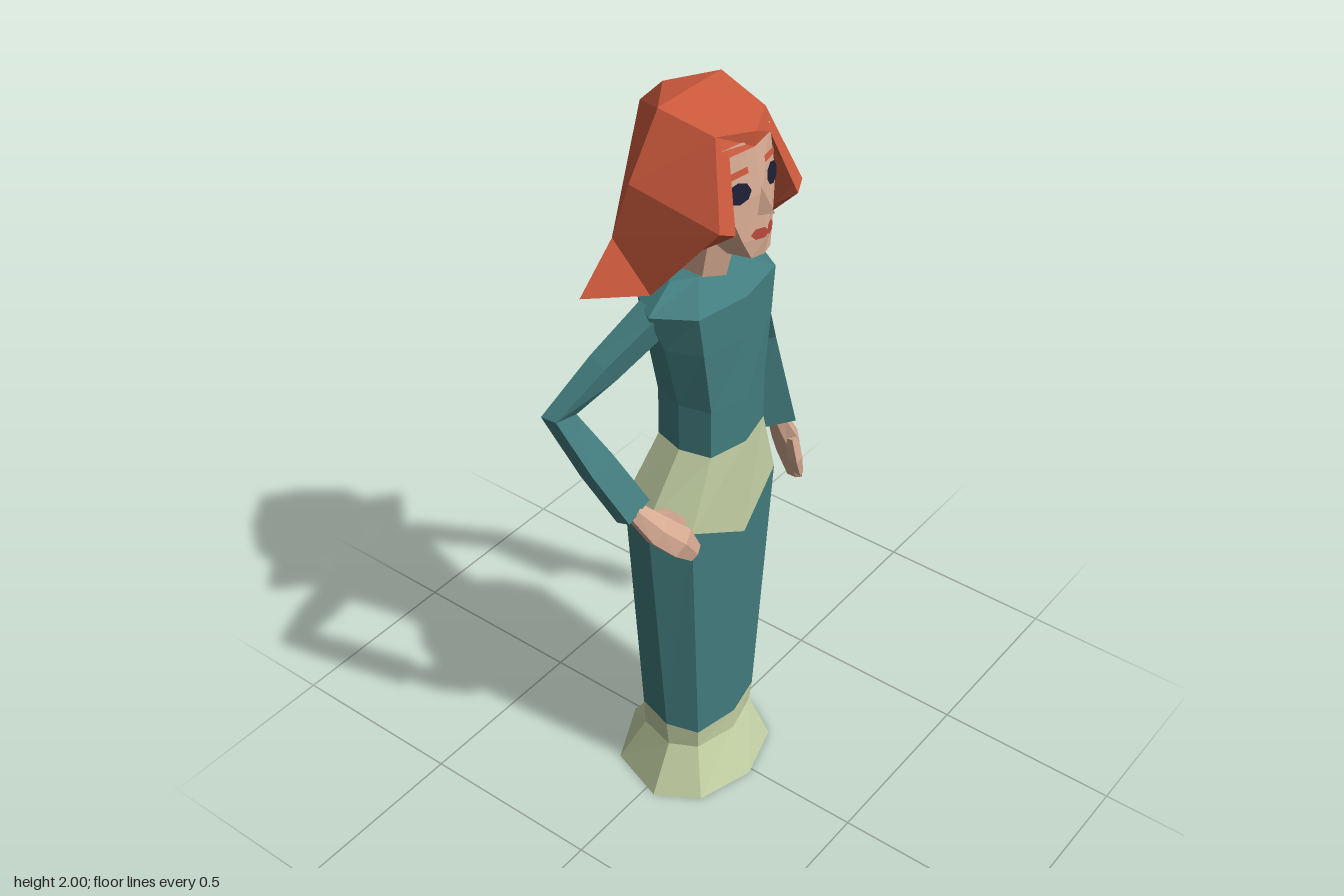
import * as THREE from 'three';

const flat = (name, color) => {
  const m = new THREE.MeshStandardMaterial({ color, flatShading: true, side: THREE.DoubleSide });
  m.name = name;
  return m;
};

// Faceted mesh from polygons, each cut into a fan of triangles
function facets(name, faces, material) {
  const pos = [];
  for (const f of faces)
    for (let i = 1; i < f.length - 1; i++) pos.push(...f[0], ...f[i], ...f[i + 1]);
  const g = new THREE.BufferGeometry();
  g.setAttribute('position', new THREE.Float32BufferAttribute(pos, 3));
  g.computeVertexNormals();
  const mesh = new THREE.Mesh(g, material);
  mesh.name = name;
  return mesh;
}

// Skin a series of rings; rings run counter-clockwise about the direction of travel
function loft(name, rings, material, capStart = true, capEnd = true) {
  const faces = [];
  for (let r = 0; r < rings.length - 1; r++) {
    const a = rings[r], b = rings[r + 1], n = a.length;
    for (let i = 0; i < n; i++) {
      const j = (i + 1) % n;
      faces.push([a[i], a[j], b[j]], [a[i], b[j], b[i]]);
    }
  }
  if (capStart) faces.push([...rings[0]].reverse());
  if (capEnd) faces.push(rings[rings.length - 1]);
  return facets(name, faces, material);
}

// Limb along a path: each section is [x, y, z, half width, half depth], rolled about the path
function limb(name, sections, material, sides = 4, roll = 0) {
  const pts = sections.map(s => new THREE.Vector3(s[0], s[1], s[2]));
  const rings = sections.map((s, k) => {
    const d = pts[Math.min(k + 1, pts.length - 1)].clone().sub(pts[Math.max(k - 1, 0)]).normalize();
    const u = new THREE.Vector3().crossVectors(d, new THREE.Vector3(0, 0, 1)).normalize().applyAxisAngle(d, roll);
    const v = new THREE.Vector3().crossVectors(d, u);
    return Array.from({ length: sides }, (_, i) => {
      const t = (i + 0.5) / sides * Math.PI * 2, q = 1 / Math.cos(Math.PI / sides);
      return pts[k].clone().addScaledVector(u, Math.cos(t) * s[3] * q)
        .addScaledVector(v, Math.sin(t) * s[4] * q).toArray();
    });
  });
  return loft(name, rings, material);
}

// Eight-sided body ring: front middle, front corners, sides, back corners, back middle
const bodyRing = (y, frontZ, [fx, fz], [sx, sz], [bx, bz], backZ, midY = y, cornerY = y) => [
  [0, midY, frontZ], [fx, cornerY, fz], [sx, y, sz], [bx, y, bz],
  [0, y, backZ], [-bx, y, bz], [-sx, y, sz], [-fx, cornerY, fz],
];

export function createModel() {
  const teal = flat('teal cloth', 0x437d7f);
  const pale = flat('pale green cloth', 0xc5d2a5);
  const red = flat('red hair', 0xcb593c);
  const skin = flat('skin', 0xd6aa92);
  const navy = flat('dark eyes', 0x1d1e33);
  const lip = flat('lips', 0xb4483a);

  const model = new THREE.Group();
  model.name = 'woman';
  const body = new THREE.Group();
  body.name = 'body';
  body.position.x = -0.014;
  model.add(body);

  // Dress, from the floor up
  const floor = bodyRing(0, 0.187, [0.155, 0.14], [0.22, 0.03], [0.165, -0.13], -0.21);
  const ankle = bodyRing(0.14, 0.13, [0.115, 0.1], [0.152, 0.03], [0.125, -0.07], -0.11);
  const hemTop = bodyRing(0.22, 0.132, [0.12, 0.104], [0.16, 0.03], [0.13, -0.07], -0.113, 0.205, 0.2);
  const hip = bodyRing(0.945, 0.155, [0.168, 0.122], [0.222, 0.03], [0.18, -0.075], -0.138, 0.84, 0.925);
  const waist = bodyRing(1.12, 0.155, [0.105, 0.13], [0.124, 0.05], [0.1, -0.03], -0.06);
  const ribs = bodyRing(1.25, 0.155, [0.105, 0.13], [0.126, 0.05], [0.1, -0.03], -0.058);
  const chest = bodyRing(1.42, 0.152, [0.13, 0.128], [0.162, 0.04], [0.125, -0.045], -0.065);
  const shoulders = bodyRing(1.525, 0.15, [0.145, 0.125], [0.205, 0.03], [0.14, -0.055], -0.07);
  const collar = bodyRing(1.572, 0.07, [0.06, 0.06], [0.115, 0.02], [0.08, -0.045], -0.055);
  body.add(
    loft('hem', [floor, ankle, hemTop], pale, false, false),
    facets('hemUnderside', [[...floor].reverse()], teal),
    loft('skirt', [hemTop, hip], teal, false, false),
    loft('hipBand', [hip, waist], pale, false, false),
    loft('bodice', [waist, ribs, chest, shoulders, collar], teal, false, true),
  );

  // Neck and head
  body.add(limb('neck', [[0, 1.54, 0.03, 0.055, 0.05], [0, 1.72, 0.06, 0.052, 0.05]], skin, 6));
  const headRing = ([y, cz, fx, fz, sx, sz, bz]) =>
    [[0, y, cz], [fx, y, fz], [sx, y, sz], [sx * 0.6, y, bz], [-sx * 0.6, y, bz], [-sx, y, sz], [-fx, y, fz]];
  body.add(loft('head', [
    [1.655, 0.195, 0.035, 0.185, 0.05, 0.13, 0.1],
    [1.7, 0.2, 0.055, 0.175, 0.075, 0.08, 0],
    [1.8, 0.185, 0.09, 0.155, 0.098, 0.07, -0.05],
    [1.925, 0.158, 0.085, 0.14, 0.09, 0.05, -0.05],
  ].map(headRing), skin));
  const bridge = [0, 1.82, 0.18], tip = [0, 1.765, 0.22], nl = [0.016, 1.754, 0.184], nr = [-0.016, 1.754, 0.184];
  body.add(facets('nose', [[bridge, tip, nl], [bridge, nr, tip], [tip, nr, nl]], skin));

  // Painted eyes, brows and lips
  for (const s of [1, -1]) {
    const plate = (name, geometry, material, x, y, z, yaw, lean, roll = 0) => {
      const m = new THREE.Mesh(geometry, material);
      m.name = name;
      m.position.set(s * x, y, z);
      m.rotation.set(lean, s * yaw, s * roll, 'YXZ');
      body.add(m);
    };
    plate('eye', new THREE.CircleGeometry(1, 8).scale(0.033, 0.025, 1), navy, 0.06, 1.82, 0.167, 0.32, -0.18);
    plate('brow', new THREE.PlaneGeometry(0.055, 0.015), red, 0.057, 1.864, 0.161, 0.28, -0.18, -0.1);
    plate('lipHalf', new THREE.CircleGeometry(1, 6).scale(0.024, 0.014, 1), lip, 0.018, 1.714, 0.195, 0.38, -0.12);
  }

  // Hair: faceted panels, mirrored left and right
  const crownBack = [0, 1.985, -0.085], crownSide = [0.112, 1.99, -0.01], crownTop = [0, 2, 0];
  const fringe = [0, 1.945, 0.165], fringeSide = [0.09, 1.955, 0.125];
  const fringeLow = [0, 1.908, 0.163], fringeSideLow = [0.073, 1.908, 0.15];
  const curtainIn = [0.115, 1.755, 0.2], curtainOut = [0.152, 1.77, 0.185];
  const temple = [0.19, 1.835, -0.03], side = [0.197, 1.69, -0.075];
  const jaw = [0.178, 1.565, 0.015], jawIn = [0.1, 1.6, 0];
  const flick = [0.29, 1.57, -0.095], backTip = [0, 1.535, -0.225];
  const backMid = [0, 1.92, -0.15], under = [0.11, 1.487, -0.13], underMid = [0, 1.487, -0.13];
  const half = [
    [crownBack, crownTop, crownSide], [crownTop, fringe, fringeSide, crownSide],
    [fringe, fringeLow, fringeSideLow, fringeSide],
    [fringeSide, fringeSideLow, curtainIn, curtainOut],
    [crownSide, fringeSide, curtainOut, temple],
    [crownBack, crownSide, backMid], [crownSide, temple, backMid],
    [temple, side, backMid], [temple, curtainOut, side],
    [backMid, side, backTip], [side, flick, backTip],
    [curtainOut, jaw, side], [side, jaw, flick], [jaw, under, flick],
    [curtainIn, jawIn, jaw, curtainOut], [jawIn, under, jaw],
    [flick, under, backTip], [under, underMid, backTip],
    [[0.09, 1.75, -0.03], [0, 1.75, -0.03], underMid, under],
  ];
  const mirrored = half.map(f => f.map(([x, y, z]) => [-x, y, z]).reverse());
  body.add(facets('hair', [...half, ...mirrored], red));

  // Left arm hangs at the side, its flattened sleeve turned outward
  model.add(limb('leftSleeve', [
    [0.155, 1.51, 0.005, 0.034, 0.03], [0.21, 1.38, -0.005, 0.036, 0.026],
    [0.288, 1.19, -0.025, 0.036, 0.024], [0.33, 0.91, -0.01, 0.057, 0.03],
  ], teal, 4, 0.75));
  model.add(limb('leftHand', [
    [0.336, 0.92, 0, 0.022, 0.024], [0.372, 0.84, 0.003, 0.026, 0.04],
    [0.4, 0.77, -0.004, 0.022, 0.036], [0.426, 0.672, 0, 0.01, 0.024],
  ], skin, 6));
  model.add(limb('leftThumb', [
    [0.36, 0.85, 0.03, 0.013, 0.015], [0.365, 0.78, 0.045, 0.013, 0.013], [0.385, 0.72, 0.045, 0.007, 0.008],
  ], skin));

  // Right arm bends with the hand on the hip
  model.add(limb('rightSleeve', [
    [-0.17, 1.5, 0.01, 0.035, 0.034], [-0.295, 1.405, -0.04, 0.032, 0.028],
    [-0.4, 1.312, -0.087, 0.036, 0.022], [-0.35, 1.17, -0.025, 0.038, 0.024],
    [-0.302, 1.035, 0.042, 0.04, 0.024],
  ], teal));
  model.add(limb('rightHand', [
    [-0.305, 1.04, 0.045, 0.022, 0.02], [-0.265, 0.975, 0.085, 0.036, 0.026],
    [-0.225, 0.93, 0.12, 0.038, 0.02], [-0.185, 0.875, 0.13, 0.022, 0.012],
  ], skin, 6));
  model.add(limb('rightThumb', [
    [-0.27, 1.0, 0.06, 0.014, 0.014], [-0.215, 0.985, 0.08, 0.013, 0.013], [-0.18, 0.95, 0.1, 0.007, 0.007],
  ], skin));

  return model;
}
